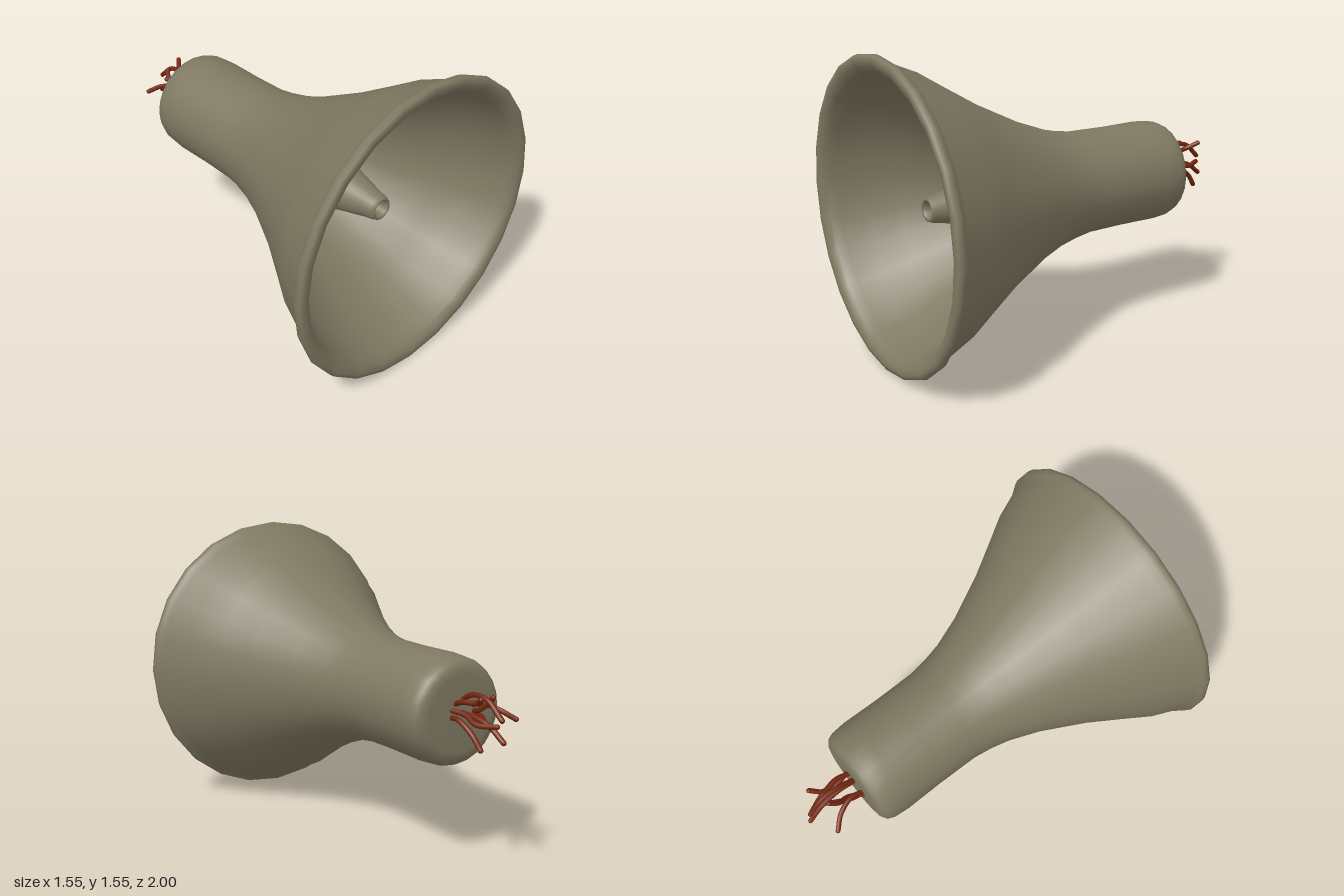
import * as THREE from 'three';

const CENTRE_Y = 0.773;

// Profiles are [radius, z]; the lathe axis is turned to run along z.
function latheZ(profile, material, name) {
  const points = profile.map(([r, z]) => new THREE.Vector2(r, z));
  const geometry = new THREE.LatheGeometry(points, 24);
  geometry.rotateX(Math.PI / 2);
  const mesh = new THREE.Mesh(geometry, material);
  mesh.name = name;
  mesh.position.y = CENTRE_Y;
  return mesh;
}

export function createModel() {
  const model = new THREE.Group();
  model.name = 'hornSpeaker';
  const shellMaterial = new THREE.MeshStandardMaterial({ color: 0x7f7962 });
  const wireMaterial = new THREE.MeshStandardMaterial({ color: 0x74260f });

  // Horn shell: rounded tail, neck, flared bell, rolled lip, then the inner wall
  model.add(latheZ([
    [0, -0.7], [0.19, -0.7], [0.225, -0.693], [0.25, -0.675], [0.264, -0.64],
    [0.271, -0.56], [0.268, -0.35], [0.271, -0.13], [0.286, -0.03], [0.31, 0.07],
    [0.37, 0.23], [0.484, 0.46], [0.585, 0.63], [0.67, 0.77], [0.735, 0.925],
    [0.762, 0.95], [0.773, 0.972], [0.768, 0.994], [0.745, 1], [0.715, 0.992],
    [0.69, 0.965], [0.675, 0.92], [0.625, 0.77], [0.54, 0.63], [0.44, 0.46],
    [0.335, 0.25], [0.275, 0.11], [0.25, 0.05], [0.225, 0.025], [0.2, 0.03],
  ], shellMaterial, 'hornShell'));

  // Central nozzle with a hollow tip
  model.add(latheZ([
    [0.2, 0.03], [0.193, 0.1], [0.175, 0.25], [0.145, 0.4], [0.105, 0.55],
    [0.072, 0.68], [0.064, 0.725], [0.055, 0.745], [0.044, 0.742], [0.037, 0.72],
    [0.033, 0.67], [0, 0.665],
  ], shellMaterial, 'nozzle'));

  // Loose wires trailing out of the tail
  const wires = new THREE.Group();
  wires.name = 'wires';
  const paths = [
    [[-0.08, 0.8, -0.68], [-0.07, 0.83, -0.76], [-0.1, 0.81, -0.85], [-0.15, 0.77, -0.91]],
    [[-0.06, 0.73, -0.68], [-0.06, 0.77, -0.76], [-0.03, 0.77, -0.82], [0, 0.76, -0.87]],
    [[-0.01, 0.83, -0.68], [-0.005, 0.88, -0.77], [0, 0.875, -0.88], [-0.005, 0.8, -0.97]],
    [[0, 0.78, -0.68], [0.01, 0.785, -0.78], [0.005, 0.76, -0.9], [-0.005, 0.7, -0.985]],
    [[0.03, 0.82, -0.68], [0.045, 0.85, -0.76], [0.03, 0.86, -0.85], [0.07, 0.895, -0.91]],
    [[0.05, 0.76, -0.68], [0.07, 0.77, -0.76], [0.065, 0.72, -0.85], [0.055, 0.655, -0.9]],
    [[0.06, 0.8, -0.68], [0.04, 0.79, -0.78], [0.05, 0.765, -0.86], [0.01, 0.77, -0.955]],
    [[-0.09, 0.77, -0.68], [-0.05, 0.8, -0.77], [-0.06, 0.85, -0.83], [-0.04, 0.88, -0.87]],
  ];
  for (const path of paths) {
    const curve = new THREE.CatmullRomCurve3(path.map((p) => new THREE.Vector3(...p)));
    const radius = 0.013;
    const wire = new THREE.Mesh(new THREE.TubeGeometry(curve, 14, radius, 8), wireMaterial);
    wire.name = 'wire';
    // Rounded free end
    const tip = new THREE.Mesh(new THREE.SphereGeometry(radius, 8, 6), wireMaterial);
    tip.name = 'wireTip';
    tip.position.copy(curve.getPoint(1));
    wires.add(wire, tip);
  }
  model.add(wires);
  return model;
}
